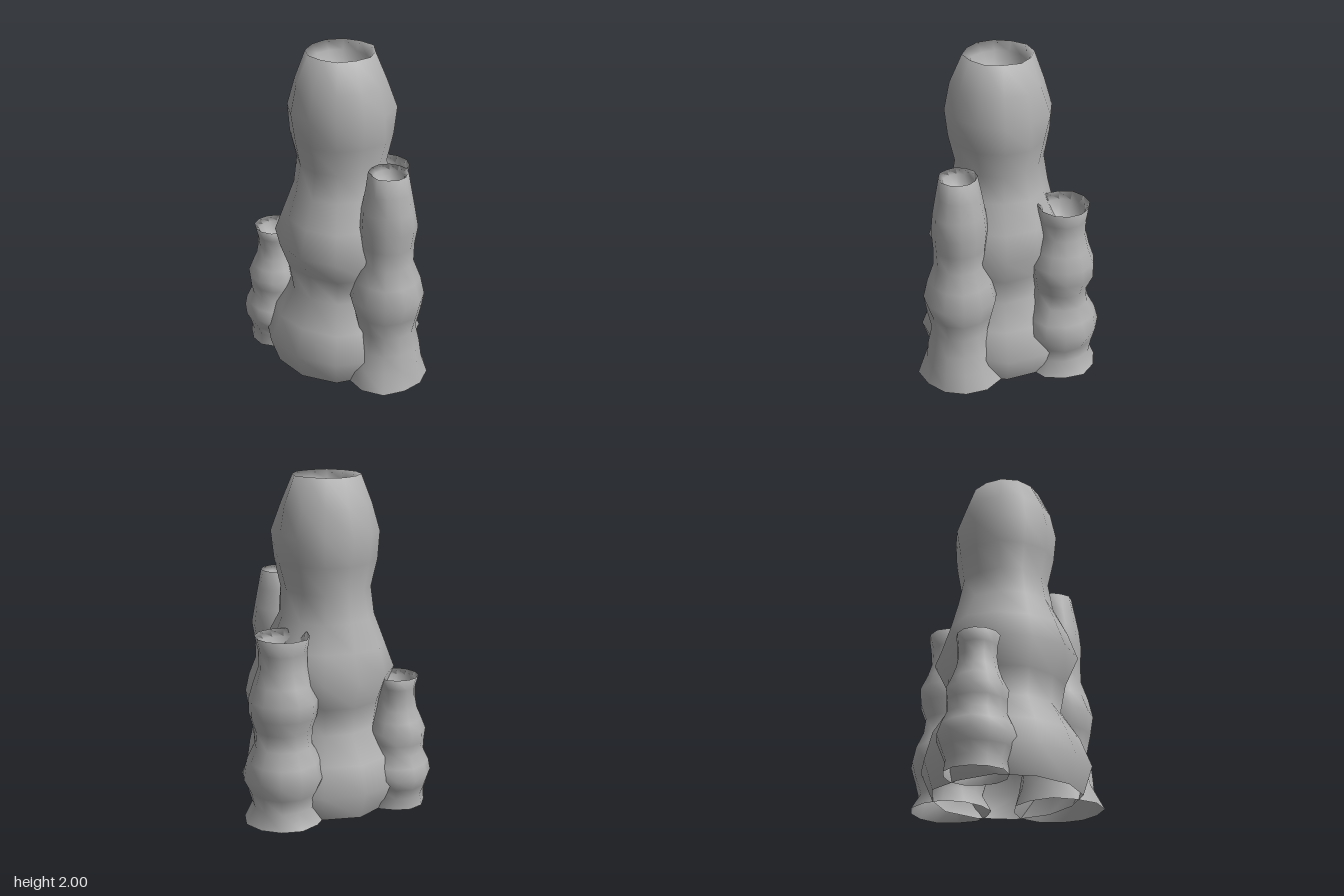
import * as THREE from 'three';
import { mergeVertices } from 'three/addons/utils/BufferGeometryUtils.js';

const SIDES = 12;

// Small seeded generator for the uneven walls
function seeded(seed) {
  let s = seed;
  return () => {
    s = (s * 16807) % 2147483647;
    return s / 2147483647;
  };
}

// Evenly spaced rings of the given radii, then a lip and a hollow with a raised floor
function tubeGeometry(height, radii, seed) {
  const rand = seeded(seed);
  const last = radii.length - 1;
  const rim = radii[last];
  const profile = radii.map((r, i) => new THREE.Vector2(r, (height * i) / last));
  profile.push(
    new THREE.Vector2(rim * 0.8, height - rim * 0.25),
    new THREE.Vector2(rim * 0.72, height - rim * 1.2),
    new THREE.Vector2(0, height - rim * 0.6)
  );
  const geo = new THREE.LatheGeometry(profile, SIDES);
  const rows = profile.length;
  const wobble = Array.from({ length: SIDES * rows }, () => 1 + (rand() - 0.5) * 0.08);
  const pos = geo.attributes.position;
  for (let i = 0; i < pos.count; i++) {
    const w = wobble[i % (SIDES * rows)]; // last column repeats the first
    pos.setX(i, pos.getX(i) * w);
    pos.setZ(i, pos.getZ(i) * w);
  }
  // Weld the seam so the shading is smooth all round
  geo.deleteAttribute('uv');
  geo.deleteAttribute('normal');
  const welded = mergeVertices(geo, 1e-4);
  welded.computeVertexNormals();
  return welded;
}

export function createModel() {
  const group = new THREE.Group();
  group.name = 'tubeCluster';
  const stone = new THREE.MeshStandardMaterial({ color: 0xb0b0b0, side: THREE.DoubleSide });
  stone.name = 'grey';

  const tubes = [
    {
      name: 'mainTube', x: -0.05, z: -0.065, height: 2, seed: 11,
      radii: [0.43, 0.495, 0.425, 0.335, 0.345, 0.415, 0.36, 0.295, 0.268, 0.302, 0.317, 0.272, 0.203]
    },
    {
      name: 'frontTube', x: 0.07, z: 0.315, height: 1.375, seed: 237,
      radii: [0.265, 0.225, 0.205, 0.175, 0.2, 0.23, 0.195, 0.155, 0.158, 0.172, 0.16, 0.135, 0.115]
    },
    {
      name: 'leftTube', x: 0.34, z: -0.255, height: 1.125, seed: 3571,
      radii: [0.24, 0.19, 0.215, 0.247, 0.22, 0.175, 0.168, 0.2, 0.205, 0.17, 0.14, 0.142, 0.16]
    },
    {
      name: 'rightTube', x: -0.375, z: -0.365, height: 0.81, seed: 48611,
      radii: [0.18, 0.17, 0.195, 0.22, 0.195, 0.163, 0.167, 0.176, 0.147, 0.12, 0.108, 0.112, 0.125]
    }
  ];
  for (const t of tubes) {
    const mesh = new THREE.Mesh(tubeGeometry(t.height, t.radii, t.seed), stone);
    mesh.name = t.name;
    mesh.position.set(t.x, 0, t.z);
    group.add(mesh);
  }
  return group;
}
